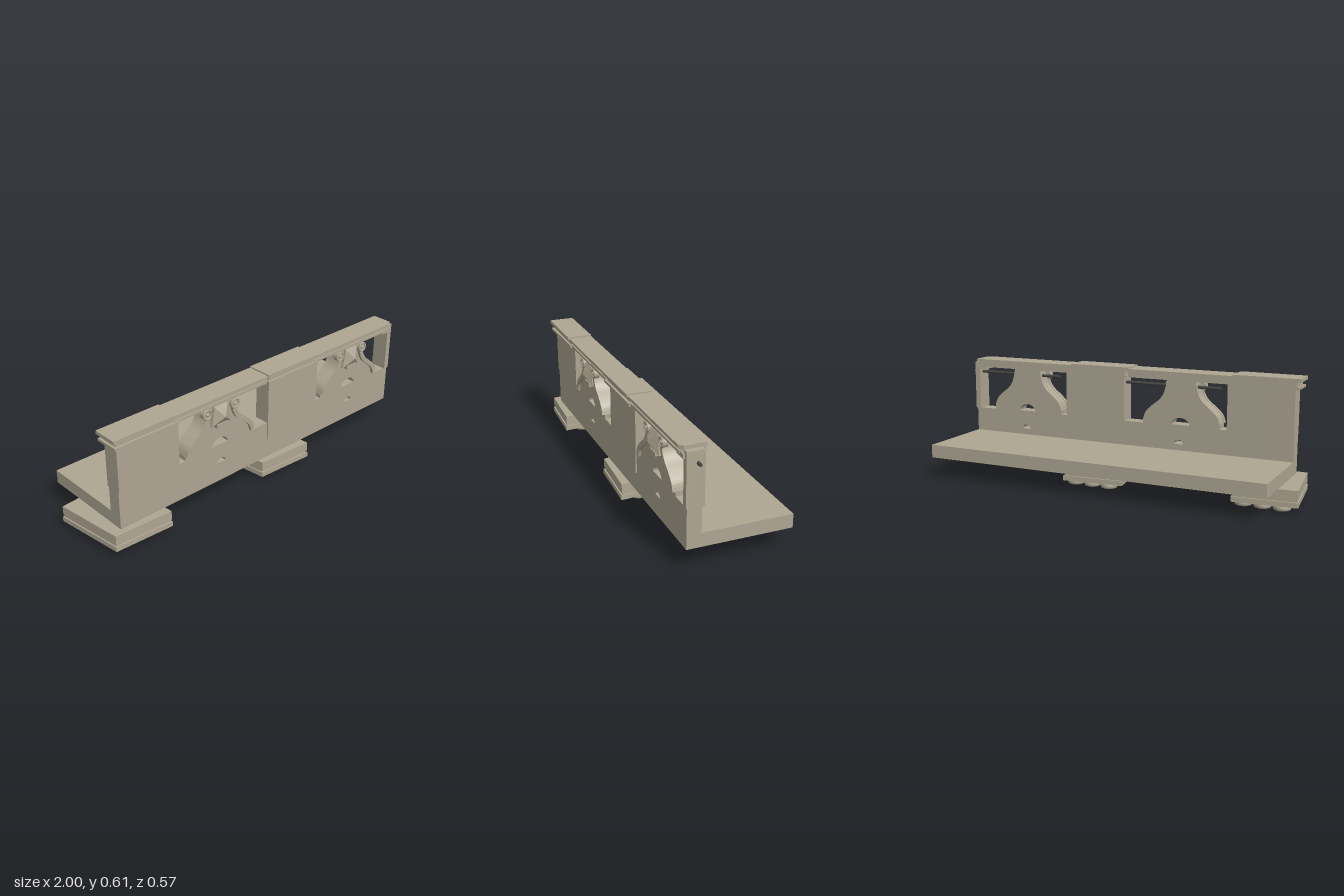
import * as THREE from 'three';

export function createModel() {
  const model = new THREE.Group();
  const stone = new THREE.MeshStandardMaterial({ color: 0xaea692 });
  stone.name = 'warm grey stone';
  const iron = new THREE.MeshStandardMaterial({ color: 0x454540 });
  iron.name = 'dark iron';

  const add = (name, geometry, material = stone, parent = model) => {
    const mesh = new THREE.Mesh(geometry, material);
    mesh.name = name;
    parent.add(mesh);
    return mesh;
  };
  // box given by its limits on each axis
  const block = (name, x0, x1, y0, y1, z0, z1) => {
    const mesh = add(name, new THREE.BoxGeometry(x1 - x0, y1 - y0, z1 - z0));
    mesh.position.set((x0 + x1) / 2, (y0 + y1) / 2, (z0 + z1) / 2);
    return mesh;
  };
  const extrude = (shape, depth, z) =>
    new THREE.ExtrudeGeometry(shape, { depth, bevelEnabled: false, curveSegments: 14 }).translate(0, 0, z);

  // floor slab
  block('floorSlab', -0.9, 0.972, 0.11, 0.18, -0.288, 0.237);

  // parapet wall with two ogee gables and half-round openings
  const bays = [-0.293, 0.635];
  const ogee = new THREE.SplineCurve([
    [0.215, 0.335], [0.2, 0.375], [0.165, 0.41], [0.122, 0.445], [0.098, 0.48], [0.085, 0.525],
  ].map(([x, y]) => new THREE.Vector2(x, y))).getPoints(18);
  const wall = new THREE.Shape();
  wall.moveTo(0.972, 0.18);
  wall.lineTo(0.972, 0.312);
  for (const cx of [...bays].reverse()) {
    wall.lineTo(cx + 0.215, 0.312);
    for (const p of ogee) wall.lineTo(cx + p.x, p.y);
    wall.lineTo(cx + 0.08, 0.555);
    wall.lineTo(cx - 0.08, 0.555);
    for (const p of [...ogee].reverse()) wall.lineTo(cx - p.x, p.y);
    wall.lineTo(cx - 0.215, 0.312);
  }
  wall.lineTo(-0.9, 0.312);
  wall.lineTo(-0.9, 0.18);
  for (const cx of bays) {
    for (const [x, y, rx, ry] of [[cx + 0.003, 0.317, 0.051, 0.038], [cx + 0.012, 0.213, 0.026, 0.024]]) {
      const hole = new THREE.Path();
      hole.absellipse(x, y, rx, ry, 0, Math.PI, false, 0);
      hole.closePath();
      wall.holes.push(hole);
    }
  }
  add('parapetWall', extrude(wall, 0.072, 0.165));

  // piers and end post
  block('leftPier', -0.9, -0.55, 0.312, 0.578, 0.155, 0.243);
  block('middlePier', 0.03, 0.38, 0.312, 0.578, 0.155, 0.243);
  block('middlePierPanel', 0.03, 0.38, 0.21, 0.32, 0.22, 0.243);
  block('endPost', 0.945, 0.975, 0.312, 0.578, 0.155, 0.243);
  block('endPostCapital', 0.892, 0.96, 0.542, 0.565, 0.15, 0.252);

  // handrail: stacked mouldings, chamfered at the free front corner
  const railLayer = (name, x0, x1, y0, y1, front, chamfer = 0) => {
    const s = new THREE.Shape();
    s.moveTo(x0, -0.138);
    s.lineTo(x0, -front);
    s.lineTo(x1 - chamfer, -front);
    s.lineTo(x1, -front + chamfer);
    s.lineTo(x1, -0.138);
    add(name, new THREE.ExtrudeGeometry(s, { depth: y1 - y0, bevelEnabled: false }).rotateX(-Math.PI / 2).translate(0, y0, 0));
  };
  for (const [x0, x1] of [[-0.93, -0.58], [0, 0.34]]) {
    railLayer('pierRailCap', x0, x1, 0.588, 0.606, 0.271);
    railLayer('pierRailNeck', x0 + 0.02, x1, 0.564, 0.588, 0.254);
    railLayer('pierRailBand', x0 + 0.008, x1 + 0.02, 0.55, 0.564, 0.266);
  }
  for (const [x0, x1, c] of [[-0.58, 0, 0], [0.34, 0.952, 0.02]]) {
    railLayer('bayRailCap', x0, x1, 0.584, 0.599, 0.265, c);
    railLayer('bayRailNeck', x0, x1 - c / 2, 0.568, 0.584, 0.25, c);
    railLayer('bayRailBand', x0, x1 - c / 2, 0.555, 0.568, 0.258, c);
  }

  // gable ornaments: curved mouldings, scrolls and a faceted keystone
  for (const cx of bays) {
    const ornament = new THREE.Group();
    ornament.name = 'gableOrnament';
    ornament.position.x = cx;
    model.add(ornament);
    for (const side of [-1, 1]) {
      const strip = new THREE.Shape();
      ogee.forEach((p, i) => strip[i ? 'lineTo' : 'moveTo'](side * (p.x + 0.004), p.y));
      [...ogee].reverse().forEach((p) => strip.lineTo(side * (p.x - 0.017), p.y - 0.012));
      add('curvedMoulding', extrude(strip, 0.02, 0.233), stone, ornament);
      const scroll = add('scroll', new THREE.CylinderGeometry(0.026, 0.026, 0.025, 20).rotateX(Math.PI / 2), stone, ornament);
      scroll.position.set(side * 0.088, 0.521, 0.24);
      const ring = add('scrollRing', new THREE.TorusGeometry(0.023, 0.006, 6, 20), stone, ornament);
      ring.position.set(side * 0.088, 0.521, 0.252);
      const eye = add('scrollEye', new THREE.SphereGeometry(0.009, 10, 8), stone, ornament);
      eye.position.set(side * 0.088, 0.521, 0.252);
    }
    // four triangles rising to one point
    const rim = [[-0.06, 0.44, 0.25], [0.06, 0.44, 0.25], [0.042, 0.543, 0.25], [-0.042, 0.543, 0.25]];
    const corners = rim.flatMap((p, i) => [...p, ...rim[(i + 1) % 4], 0, 0.49, 0.283]);
    const keystone = new THREE.BufferGeometry();
    keystone.setAttribute('position', new THREE.Float32BufferAttribute(corners, 3));
    keystone.computeVertexNormals();
    add('keystone', keystone, stone, ornament);
    const backing = new THREE.Shape(rim.map(([x, y]) => new THREE.Vector2(x, y)));
    add('keystoneBacking', extrude(backing, 0.02, 0.23), stone, ornament);
    const foot = add('keystoneLip', new THREE.BoxGeometry(0.07, 0.02, 0.026), stone, ornament);
    foot.position.set(0, 0.438, 0.248);
  }

  // iron tie rods
  for (const [x0, x1] of [[-0.505, 0.032], [0.435, 1]]) {
    const rod = add('tieRod', new THREE.CylinderGeometry(0.008, 0.008, x1 - x0, 12).rotateZ(Math.PI / 2), iron);
    rod.position.set((x0 + x1) / 2, 0.521, 0.189);
  }

  // skewed bracket feet with nine rounded studs each
  const plan = [[-0.953, 0.268], [-0.635, 0.285], [-0.672, -0.125], [-1, -0.1]];
  const mid = [-0.815, 0.08];
  const footLayer = (name, scale, y0, y1, group) => {
    const s = new THREE.Shape(plan.map(([x, z]) => new THREE.Vector2(mid[0] + (x - mid[0]) * scale, -mid[1] - (z - mid[1]) * scale)));
    add(name, new THREE.ExtrudeGeometry(s, { depth: y1 - y0, bevelEnabled: false }).rotateX(-Math.PI / 2).translate(0, y0, 0), stone, group);
  };
  const studProfile = [[0, 0], [0.034, 0], [0.041, 0.003], [0.045, 0.009], [0.045, 0.019], [0.042, 0.026]]
    .map(([x, y]) => new THREE.Vector2(x, y));
  for (const shift of [0, 0.925]) {
    const foot = new THREE.Group();
    foot.name = 'bracketFoot';
    foot.position.x = shift;
    model.add(foot);
    footLayer('footTop', 0.985, 0.062, 0.11, foot);
    footLayer('footNeck', 0.96, 0.051, 0.062, foot);
    footLayer('footBase', 1, 0.025, 0.051, foot);
    for (let i = -1; i <= 1; i++) {
      for (let j = -1; j <= 1; j++) {
        const stud = add('stud', new THREE.LatheGeometry(studProfile, 20), stone, foot);
        stud.position.set(-0.806 + i * 0.098 + j * 0.01, 0, 0.052 + j * 0.115 + i * 0.003);
      }
    }
  }
  return model;
}
